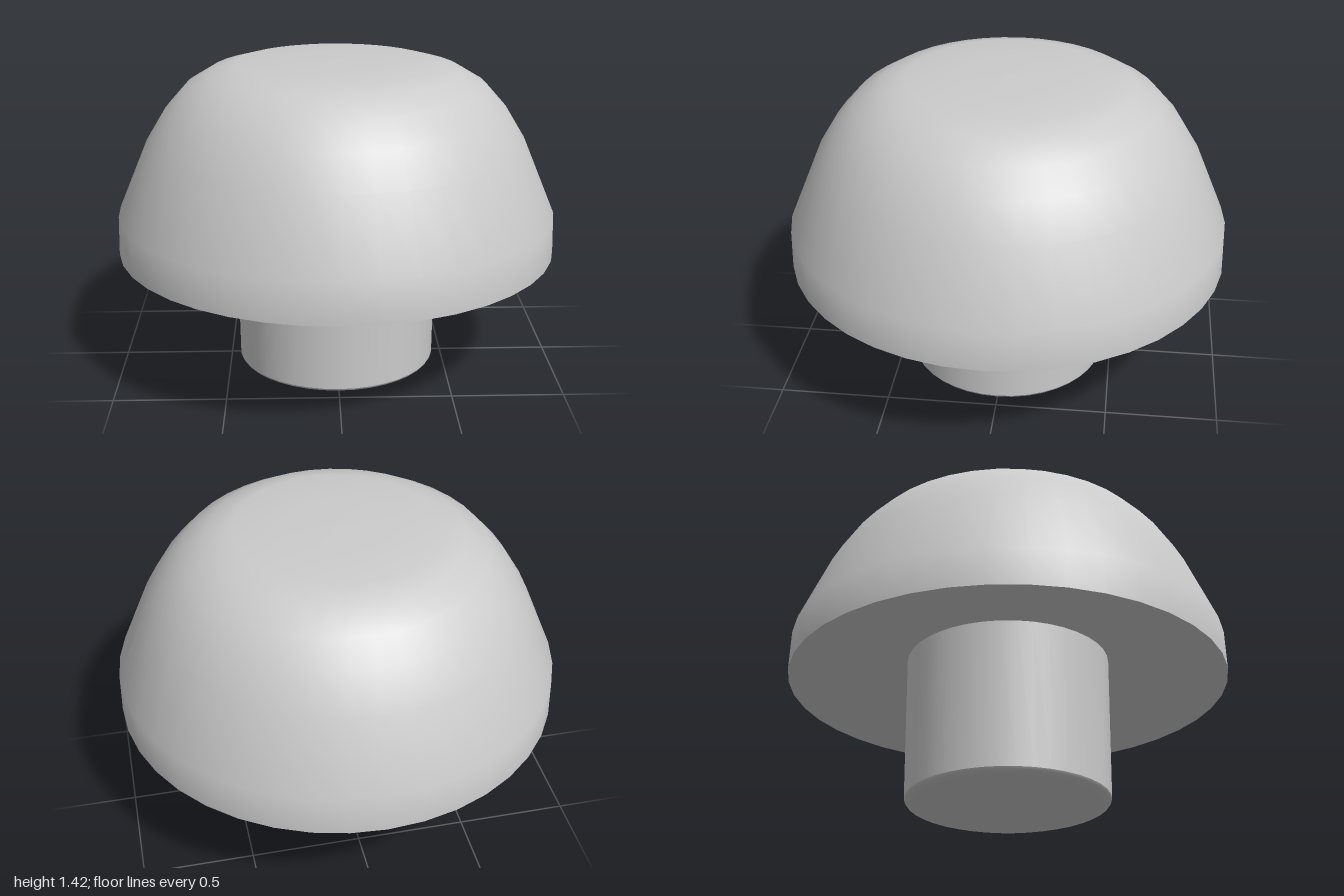
import * as THREE from 'three';

const SIDES = 40;

export function createModel() {
  const group = new THREE.Group();
  const material = new THREE.MeshStandardMaterial({ color: 0xcccccc });

  // Revolves a bottom-to-top profile of [radius, height] pairs
  function turned(name, profile) {
    const points = profile.map(([r, y]) => new THREE.Vector2(r, y));
    const mesh = new THREE.Mesh(new THREE.LatheGeometry(points, SIDES), material);
    mesh.name = name;
    group.add(mesh);
  }

  // Domed cap with a short upright rim and a nearly flat crown
  turned('cap', [
    [1, 0.563], [0.995, 0.74], [0.86, 1.058], [0.77, 1.205], [0.675, 1.312],
    [0.565, 1.378], [0.45, 1.41], [0.22, 1.419], [0, 1.424],
  ]);

  // Hollowed underside of the cap, rising from the rim to the stem
  turned('capUnderside', [[0.46, 0.68], [1, 0.563]]);

  // Cylindrical stem reaching up into the hollow, with a softly bevelled foot
  turned('stem', [[0.458, 0.02], [0.464, 0.69]]);
  turned('stemFoot', [[0, 0], [0.42, 0], [0.452, 0.01], [0.458, 0.02]]);

  return group;
}
